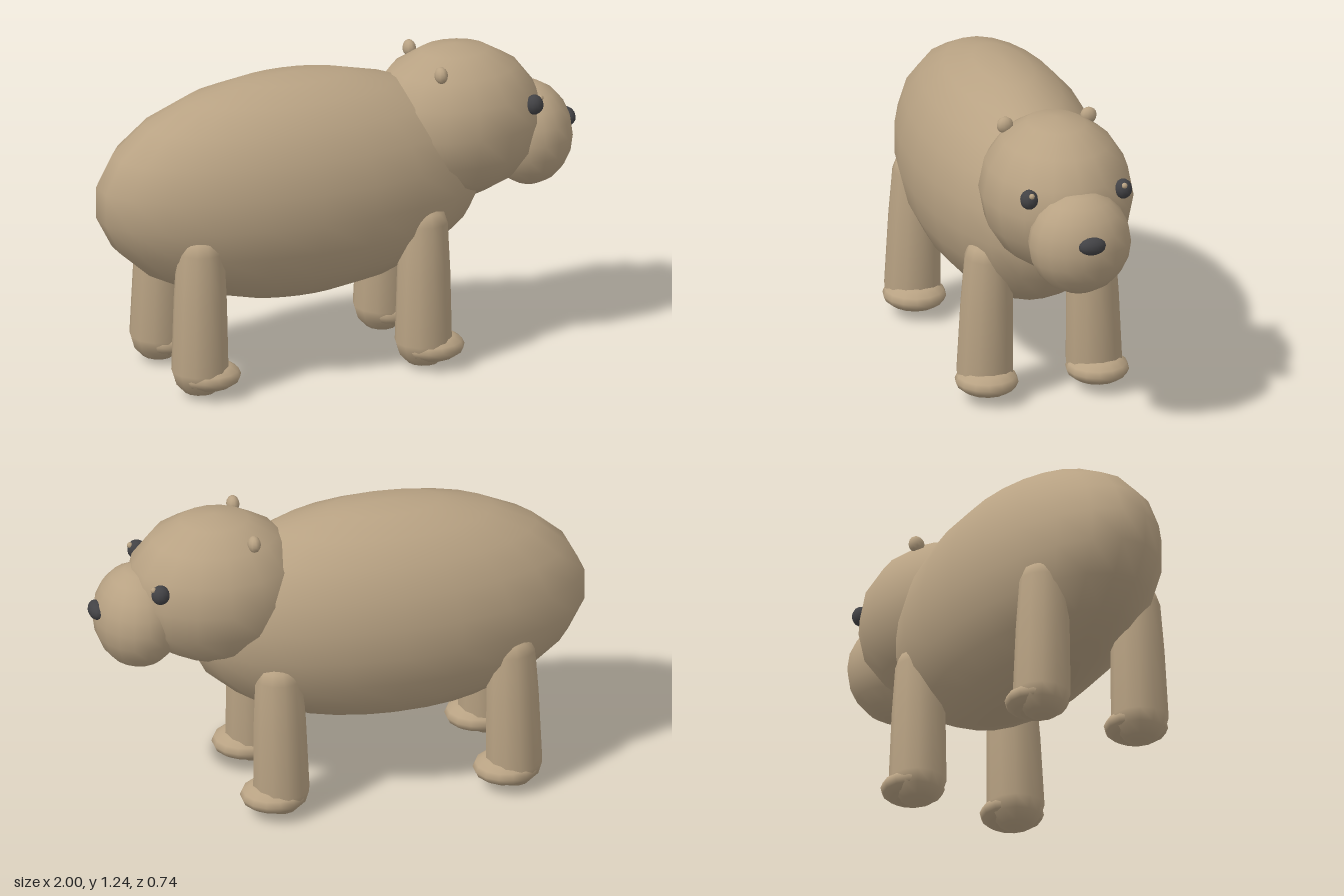
import * as THREE from 'three';

export function createModel() {
  const model = new THREE.Group();
  model.name = 'bear';

  const fur = new THREE.MeshStandardMaterial({ color: 0xb8a283 });
  fur.name = 'tan fur';
  const dark = new THREE.MeshStandardMaterial({ color: 0x424245 });
  dark.name = 'dark grey';

  // Smooth ellipsoid with baked radii
  function ellipsoid(name, material, center, radii, wide = 16, high = 8) {
    const geometry = new THREE.SphereGeometry(1, wide, high);
    geometry.rotateY(Math.PI / 2);
    geometry.scale(...radii);
    const mesh = new THREE.Mesh(geometry, material);
    mesh.name = name;
    mesh.position.set(...center);
    model.add(mesh);
    return mesh;
  }

  // Torso, head and muzzle
  ellipsoid('body', fur, [-0.2, 0.76, 0], [0.816, 0.46, 0.372], 22, 11);
  ellipsoid('head', fur, [0.49, 0.935, 0], [0.36, 0.313, 0.3], 16, 8);
  ellipsoid('muzzle', fur, [0.8, 0.838, 0], [0.177, 0.21, 0.206], 18, 10);
  ellipsoid('nose', dark, [0.966, 0.88, 0], [0.034, 0.036, 0.056], 14, 8);

  // Slightly tapered leg with a rounded sole and shoulder
  const legGeometry = new THREE.LatheGeometry(
    [[0, 0.004], [0.06, 0.022], [0.098, 0.06], [0.114, 0.11], [0.106, 0.4],
      [0.095, 0.6], [0.08, 0.645], [0.045, 0.67], [0, 0.685]]
      .map(([r, y]) => new THREE.Vector2(r, y)), 12);

  for (const side of [1, -1]) {
    const label = side > 0 ? 'left' : 'right';

    // Eyes with a small glint, and ears
    ellipsoid(label + 'Eye', dark, [0.755, 1.02, side * 0.194], [0.037, 0.04, 0.036], 12, 8);
    ellipsoid(label + 'EyeGlint', fur, [0.783, 1.043, side * 0.191], [0.012, 0.012, 0.012], 8, 6);
    ellipsoid(label + 'Ear', fur, [0.37, 1.185, side * 0.172], [0.026, 0.034, 0.034], 10, 8);

    // Legs and paws
    for (const [end, x] of [['Front', 0.272], ['Rear', -0.672]]) {
      const leg = new THREE.Mesh(legGeometry, fur);
      leg.name = label + end + 'Leg';
      leg.position.set(x, 0, side * 0.228);
      leg.rotation.set(-side * 0.025, 0, -0.015);
      model.add(leg);
      ellipsoid(label + end + 'Paw', fur, [x + 0.035, 0.087, side * 0.228], [0.132, 0.058, 0.126], 14, 8);
    }
  }
  return model;
}
